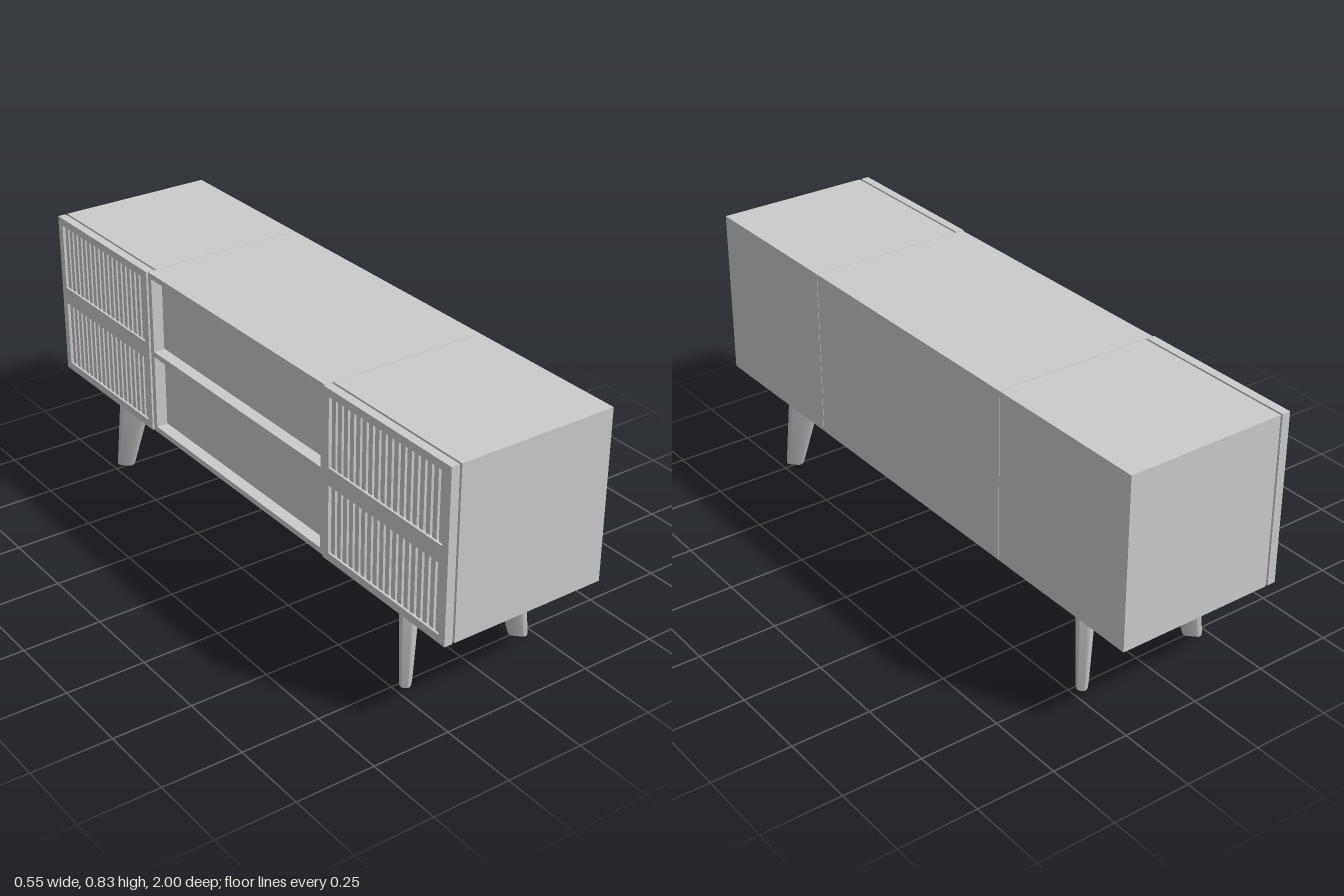
import * as THREE from 'three';
import { toCreasedNormals } from 'three/addons/utils/BufferGeometryUtils.js';

const material = new THREE.MeshStandardMaterial({ color: 0xcccccc });
const Y0 = 0.287, Y1 = 0.83, BACK = 0.273, SEAM = 0.455;

// Box given by its limits on each axis
function box(parent, name, [x0, x1], [y0, y1], [z0, z1]) {
  const mesh = new THREE.Mesh(new THREE.BoxGeometry(x1 - x0, y1 - y0, z1 - z0), material);
  mesh.position.set((x0 + x1) / 2, (y0 + y1) / 2, (z0 + z1) / 2);
  mesh.name = name;
  parent.add(mesh);
  return mesh;
}

// Rounded rectangle outline of length a, width b and corner radius r
function outline(a, b, r) {
  const points = [];
  for (let corner = 0; corner < 4; corner++) {
    const sx = corner === 0 || corner === 3 ? 1 : -1, sz = corner < 2 ? 1 : -1;
    for (let i = 0; i <= 5; i++) {
      const t = (corner + i / 5) * Math.PI / 2;
      points.push([sx * (a / 2 - r) + r * Math.cos(t), sz * (b / 2 - r) + r * Math.sin(t)]);
    }
  }
  return points;
}

// Tapered leg leaning towards +x, lofted from the foot upwards
function legGeometry() {
  const lean = 0.052;
  const sections = [ // height, length, width, radius
    [0, 0.044, 0.022, 0.009],
    [0.003, 0.054, 0.031, 0.012],
    [0.009, 0.058, 0.034, 0.013],
    [Y0 + 0.002, 0.11, 0.056, 0.018],
  ];
  const positions = [], index = [], n = 24;
  for (const [y, a, b, r] of sections) {
    const shift = lean * (1 - y / Y0);
    for (const [x, z] of outline(a, b, r)) positions.push(x + shift, y, z);
  }
  for (let j = 0; j < sections.length - 1; j++) {
    for (let i = 0; i < n; i++) {
      const a = j * n + i, b = j * n + (i + 1) % n;
      index.push(a, a + n, b, b, a + n, b + n);
    }
  }
  // sole
  positions.push(lean, 0, 0);
  for (let i = 0; i < n; i++) index.push(sections.length * n, i, (i + 1) % n);
  const geometry = new THREE.BufferGeometry();
  geometry.setAttribute('position', new THREE.Float32BufferAttribute(positions, 3));
  geometry.setIndex(index);
  return toCreasedNormals(geometry, 0.7);
}

// Louvred door: frame, middle rail and two fields of upright slats
function makeDoor(z0, z1) {
  const door = new THREE.Group();
  const X = [-0.275, -0.248], edge = 0.025;
  const inner = [z0 + edge, z1 - edge], mid = (Y0 + Y1) / 2;
  box(door, 'doorStile', X, [Y0, Y1], [z0, z0 + edge]);
  box(door, 'doorStile', X, [Y0, Y1], [z1 - edge, z1]);
  box(door, 'doorTopRail', X, [Y1 - edge, Y1], inner);
  box(door, 'doorMiddleRail', X, [mid - 0.028, mid + 0.028], inner);
  box(door, 'doorBottomRail', X, [Y0, Y0 + edge], inner);
  const count = 18, pitch = (inner[1] - inner[0]) / count;
  for (const field of [[Y0 + edge, mid - 0.028], [mid + 0.028, Y1 - edge]]) {
    for (let i = 0; i < count; i++) {
      const z = inner[0] + (i + 0.5) * pitch;
      box(door, 'slat', [-0.268, -0.252], field, [z - pitch * 0.32, z + pitch * 0.32]);
    }
  }
  return door;
}

export function createModel() {
  const model = new THREE.Group();
  model.name = 'sideboard';

  // End cabinets with their doors
  for (const s of [-1, 1]) {
    const z = s > 0 ? [SEAM + 0.002, 1] : [-1, -SEAM - 0.002];
    box(model, 'endCabinet', [-0.241, BACK], [Y0, Y1], z);
    const door = makeDoor(...z);
    door.name = s > 0 ? 'leftEndDoor' : 'rightEndDoor';
    model.add(door);
  }

  // Centre cabinet: core, then a rim standing forward of the drawer fronts
  const centre = new THREE.Group();
  centre.name = 'centreCabinet';
  model.add(centre);
  const wall = 0.018, front = [-0.27, -0.22], span = [-SEAM + wall, SEAM - wall];
  const mid = (Y0 + Y1) / 2;
  box(centre, 'centreCore', [-0.22, BACK], [Y0, Y1], [-SEAM, SEAM]);
  box(centre, 'sideRim', front, [Y0, Y1], [-SEAM, -SEAM + wall]);
  box(centre, 'sideRim', front, [Y0, Y1], [SEAM - wall, SEAM]);
  box(centre, 'topRim', front, [Y1 - wall, Y1], span);
  box(centre, 'shelfRim', front, [mid - wall / 2, mid + wall / 2], span);
  box(centre, 'bottomRim', front, [Y0, Y0 + wall], span);

  // Recessed drawer fronts with a fine gap all round
  const gap = 0.003, drawerZ = [span[0] + gap, span[1] - gap];
  box(centre, 'lowerDrawer', [-0.235, -0.22], [Y0 + wall + gap, mid - wall / 2 - gap], drawerZ);
  box(centre, 'upperDrawer', [-0.235, -0.22], [mid + wall / 2 + gap, Y1 - wall - gap], drawerZ);

  // Legs splayed towards the corners
  const geometry = legGeometry();
  for (const sx of [-1, 1]) {
    for (const sz of [-1, 1]) {
      const leg = new THREE.Mesh(geometry, material);
      leg.name = 'leg';
      leg.position.set(sx * 0.17, 0, sz * 0.723);
      leg.rotation.y = Math.atan2(-sz, sx);
      model.add(leg);
    }
  }
  return model;
}
